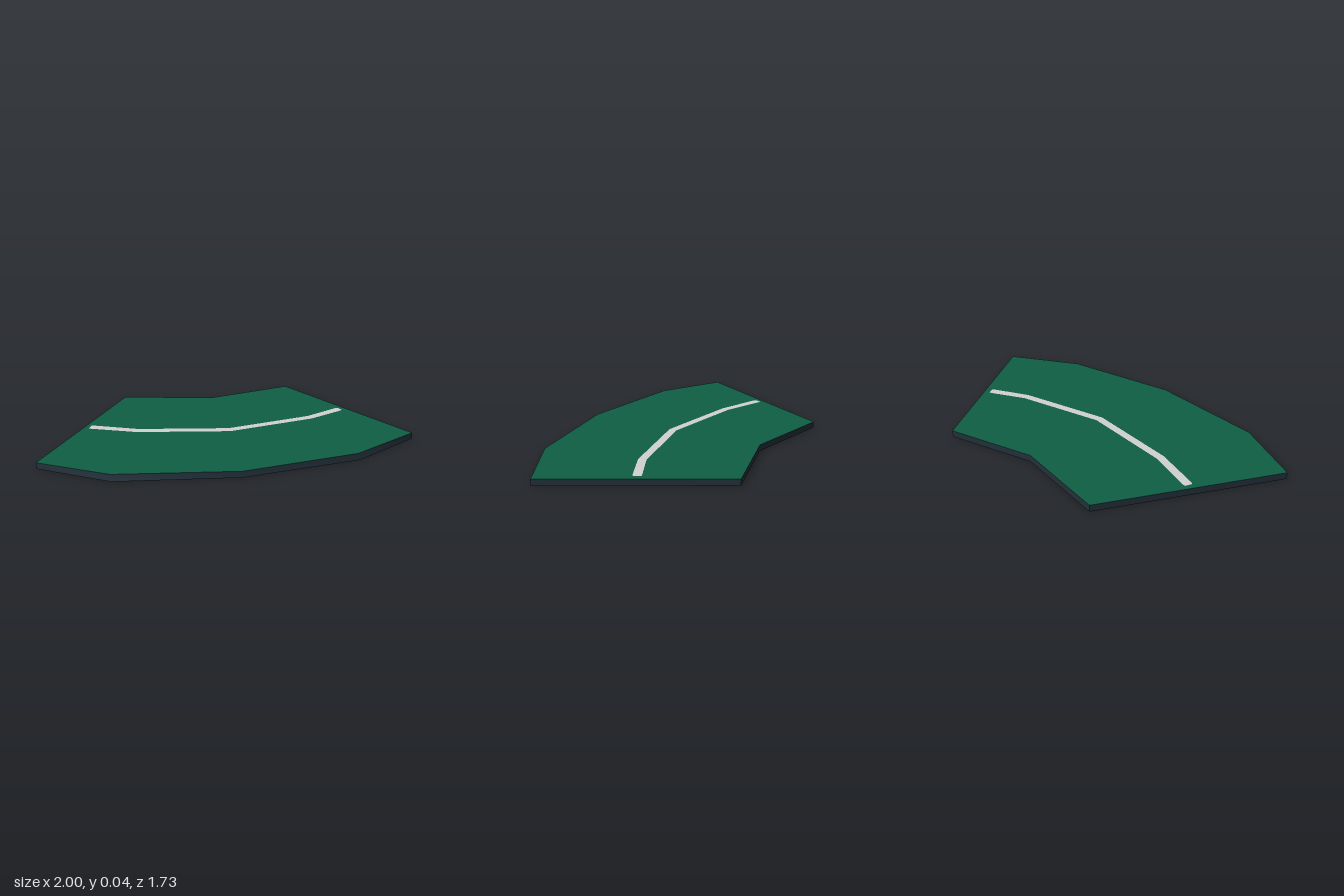
import * as THREE from 'three';

const H = 0.04;

// Corners [x, z], clockwise from above; the outer edge flares slightly at the base
const top = [[-1, -0.29], [-0.42, -0.475], [0, -0.867], [1, -0.29],
  [0.742, 0.128], [0.17, 0.58], [-0.52, 0.857], [-1, 0.857]];
const base = top.map(p => [...p]);
base[4] = [0.755, 0.13];
base[6] = [-0.51, 0.867];

// Flat polygon facing up or down at height y
function plate(points, y, up) {
  const s = up ? -1 : 1;
  const shape = new THREE.Shape(points.map(([x, z]) => new THREE.Vector2(x, s * z)));
  return new THREE.ShapeGeometry(shape).rotateX(s * Math.PI / 2).translate(0, y, 0);
}

// Wall through consecutive corners, smooth along its length
function wall(corners) {
  const pos = [], index = [];
  corners.forEach((c, i) => {
    pos.push(base[c][0], 0, base[c][1], top[c][0], H, top[c][1]);
    if (i > 0) {
      const a = 2 * i - 2;
      index.push(a, a + 1, a + 3, a, a + 3, a + 2);
    }
  });
  const g = new THREE.BufferGeometry();
  g.setAttribute('position', new THREE.Float32BufferAttribute(pos, 3));
  g.setIndex(index);
  g.computeVertexNormals();
  return g;
}

// Outline of a ribbon along a path of [x, z, half width], with mitred bends
function ribbon(path) {
  const left = [], right = [];
  const dir = (a, b) => new THREE.Vector2(b[0] - a[0], b[1] - a[1]).normalize();
  path.forEach((p, i) => {
    const d0 = dir(path[Math.max(i - 1, 0)], path[Math.max(i, 1)]);
    const last = path.length - 1;
    const d1 = dir(path[Math.min(i, last - 1)], path[Math.min(i + 1, last)]);
    const d = d0.clone().add(d1).normalize();
    const w = p[2] / d.dot(d0);
    left.push([p[0] - d.y * w, p[1] + d.x * w]);
    right.unshift([p[0] + d.y * w, p[1] - d.x * w]);
  });
  return left.concat(right);
}

export function createModel() {
  const green = new THREE.MeshStandardMaterial({ color: 0x0f5f45 });
  green.name = 'green surface';
  const dark = new THREE.MeshStandardMaterial({ color: 0x22303a });
  dark.name = 'dark slate';
  const pale = new THREE.MeshStandardMaterial({ color: 0xd2d2d2 });
  pale.name = 'pale grey';

  const model = new THREE.Group();
  model.name = 'curvedTrackPiece';
  const add = (name, geometry, material) => {
    const mesh = new THREE.Mesh(geometry, material);
    mesh.name = name;
    model.add(mesh);
  };

  // Slab
  add('topSurface', plate(top, H, true), green);
  add('underside', plate(base, 0, false), dark);
  add('innerWall', wall([0, 1, 2]), dark);
  add('rightEndWall', wall([2, 3]), dark);
  add('outerWall', wall([3, 4, 5, 6, 7]), dark);
  add('leftEndWall', wall([7, 0]), dark);

  // Centre line with slightly clipped ends
  const line = [[-0.965, 0.28, 0.022], [-0.95, 0.278, 0.027], [-0.65, 0.235, 0.025],
    [-0.105, 0.035, 0.025], [0.325, -0.335, 0.025], [0.466, -0.532, 0.027], [0.476, -0.546, 0.022]];
  add('centreLine', plate(ribbon(line), H + 0.0015, true), pale);

  return model;
}
